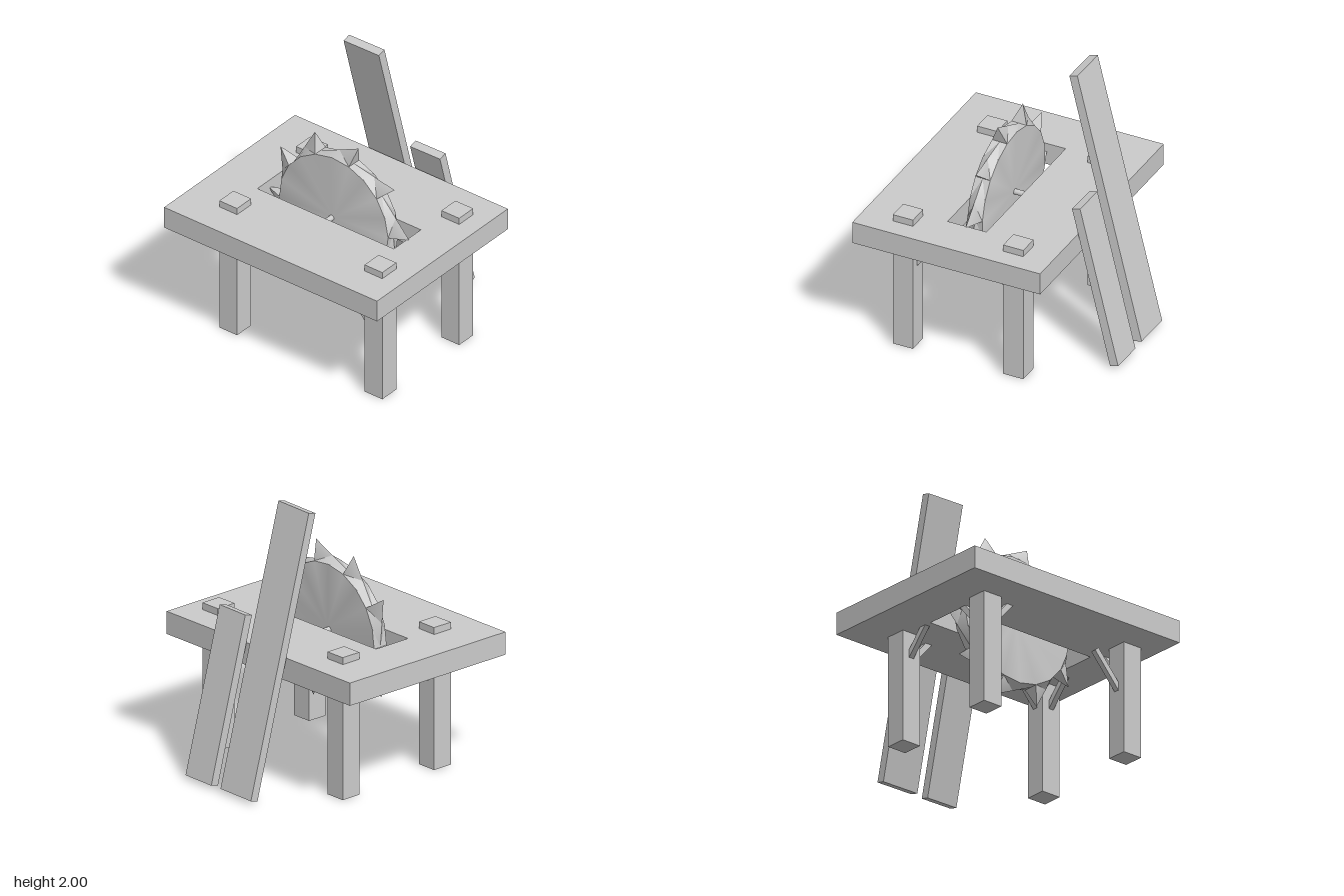
import * as THREE from 'three';
import { toCreasedNormals } from 'three/addons/utils/BufferGeometryUtils.js';

const material = new THREE.MeshStandardMaterial({ color: 0xcccccc });

function add(parent, name, geometry, x = 0, y = 0, z = 0) {
  const mesh = new THREE.Mesh(geometry, material);
  mesh.name = name;
  mesh.position.set(x, y, z);
  parent.add(mesh);
  return mesh;
}

// Lens-edged saw disc: flat sides, rim drawn out to a ridge of raked teeth
function bladeGeometry(teeth, rimRadius, tipRadius, half, startAngle) {
  const positions = [];
  const point = (angle, r, x) => new THREE.Vector3(x, r * Math.sin(angle), r * Math.cos(angle));
  const tri = (...corners) => corners.forEach((p) => positions.push(p.x, p.y, p.z));
  const step = (Math.PI * 2) / teeth;
  for (let i = 0; i < teeth; i++) {
    const a = startAngle + i * step;
    const tip = point(a, tipRadius, 0);
    const root = point(a + step, rimRadius, 0);
    const ridge = [tip, tip.clone().lerp(root, 0.5), root];
    for (const side of [1, -1]) {
      const face = (p, q, r) => (side > 0 ? tri(p, q, r) : tri(p, r, q));
      const x = side * half;
      for (let j = 0; j < 2; j++) {
        const s0 = point(a + (j * step) / 2, rimRadius, x);
        const s1 = point(a + ((j + 1) * step) / 2, rimRadius, x);
        face(new THREE.Vector3(x, 0, 0), s1, s0);
        face(s0, s1, ridge[j + 1]);
        face(s0, ridge[j + 1], ridge[j]);
      }
    }
    // Cutting face of the tooth
    tri(point(a, rimRadius, half), tip, point(a, rimRadius, -half));
  }
  const geometry = new THREE.BufferGeometry();
  geometry.setAttribute('position', new THREE.Float32BufferAttribute(positions, 3));
  return toCreasedNormals(geometry, 0.5);
}

// Board leaning from its bottom centre towards its top centre
function leaningPlank(parent, name, bottom, top, width) {
  const lean = top.clone().sub(bottom);
  const plank = add(parent, name, new THREE.BoxGeometry(0.063, lean.length(), width));
  plank.position.copy(bottom).add(top).multiplyScalar(0.5);
  plank.rotation.set(Math.asin(lean.z / lean.length()), 0, Math.atan2(-lean.x, lean.y));
}

export function createModel() {
  const model = new THREE.Group();
  model.name = 'sawTable';

  // Table top with a slot for the blade
  const rect = (path, x0, x1, z0, z1) => {
    path.moveTo(x0, -z1);
    path.lineTo(x1, -z1);
    path.lineTo(x1, -z0);
    path.lineTo(x0, -z0);
    path.closePath();
    return path;
  };
  const outline = rect(new THREE.Shape(), -0.88, 0.55, -0.92, 0.92);
  outline.holes.push(rect(new THREE.Path(), -0.31, -0.015, -0.565, 0.615));
  const topGeometry = new THREE.ExtrudeGeometry(outline, { depth: 0.165, bevelEnabled: false });
  topGeometry.rotateX(-Math.PI / 2);
  add(model, 'tableTop', topGeometry, 0, 0.82, 0);

  // Legs through the top, each with two diagonal braces
  const tilt = 0.72;
  for (const [x, inX] of [[-0.567, 1], [0.273, -1]]) {
    for (const [z, inZ] of [[-0.553, 1], [0.702, -1]]) {
      add(model, 'leg', new THREE.BoxGeometry(0.153, 1.035, 0.153), x, 0.5175, z);
      const braceX = add(model, 'sideBrace', new THREE.BoxGeometry(0.04, 0.32, 0.04), x + inX * 0.165, 0.765, z);
      braceX.rotation.z = -inX * tilt;
      const drop = x < 0 && z > 0 ? 0.165 : 0;
      const braceZ = add(model, 'lengthBrace', new THREE.BoxGeometry(0.04, 0.32, 0.04), x, 0.775 - drop, z + inZ * 0.165);
      braceZ.rotation.x = inZ * tilt;
    }
  }

  // Axle and slightly tilted blade
  const axle = add(model, 'axle', new THREE.CylinderGeometry(0.02, 0.02, 0.34, 16), -0.163, 0.94, 0.008);
  axle.rotation.z = Math.PI / 2;
  const blade = add(model, 'sawBlade', bladeGeometry(10, 0.47, 0.61, 0.057, THREE.MathUtils.degToRad(3)), -0.165, 0.95, 0.025);
  blade.rotation.z = -0.025;

  // Two boards leaning on the table edge
  leaningPlank(model, 'tallPlank', new THREE.Vector3(0.838, 0.02, -0.121), new THREE.Vector3(0.333, 1.99, -0.152), 0.305);
  leaningPlank(model, 'shortPlank', new THREE.Vector3(0.838, 0.02, 0.253), new THREE.Vector3(0.54, 1.187, 0.236), 0.258);

  return model;
}
